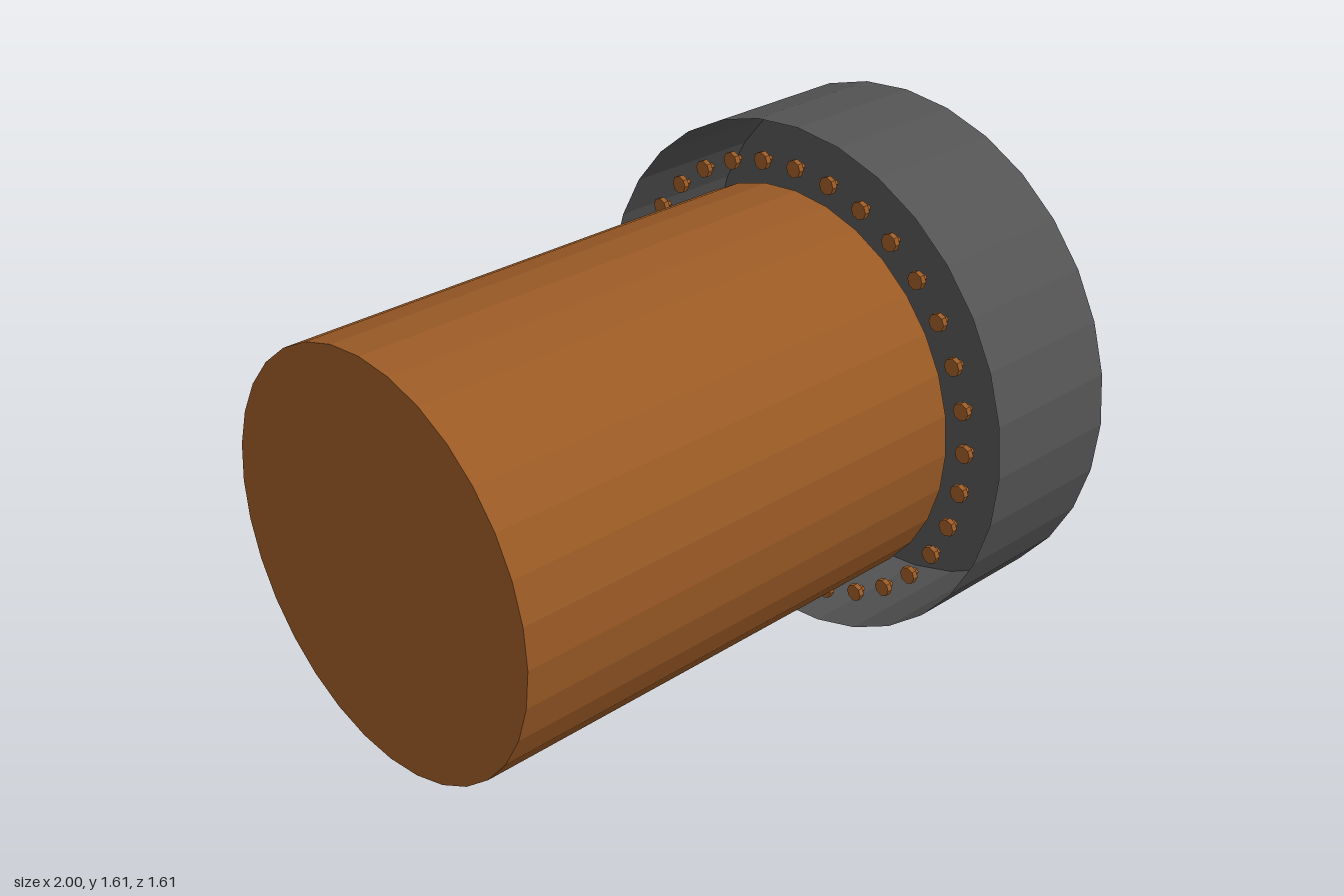
import * as THREE from 'three';

const SIDES = 32;
const CENTRE_Y = 0.807;

export function createModel() {
  const model = new THREE.Group();
  const brown = new THREE.MeshStandardMaterial({ color: 0x9a5a25, flatShading: true });
  brown.name = 'brown';
  const grey = new THREE.MeshStandardMaterial({ color: 0x545454, flatShading: true, side: THREE.DoubleSide });
  grey.name = 'dark grey';

  // Cylinder lying along x, between two x positions
  const rod = (radius, x0, x1, sides, open = false) =>
    new THREE.CylinderGeometry(radius, radius, x1 - x0, sides, 1, open)
      .rotateZ(-Math.PI / 2)
      .translate((x0 + x1) / 2, 0, 0);

  const add = (name, geometry, material, parent = model) => {
    const mesh = new THREE.Mesh(geometry, material);
    mesh.name = name;
    parent.add(mesh);
    return mesh;
  };

  // Solid barrel
  add('barrel', rod(0.615, -1, 0.535, SIDES), brown).position.y = CENTRE_Y;

  // Hollow cap, open towards the barrel
  const cap = new THREE.Group();
  cap.name = 'cap';
  cap.position.y = CENTRE_Y;
  model.add(cap);
  add('capWall', rod(0.807, 0.535, 1, SIDES, true), grey, cap);
  const end = new THREE.CircleGeometry(0.807, SIDES).rotateY(Math.PI / 2).translate(1, 0, 0);
  add('capEnd', end, grey, cap);

  // Ring of small studs around the barrel's end
  const studs = new THREE.Group();
  studs.name = 'studs';
  studs.position.y = CENTRE_Y;
  model.add(studs);
  const head = rod(0.027, 0.52, 0.537, 8);
  const stem = rod(0.011, 0.537, 0.56, 6);
  const count = 33;
  for (let i = 0; i < count; i++) {
    const a = (i / count) * Math.PI * 2;
    const stud = new THREE.Group();
    stud.name = 'stud';
    stud.position.set(0, 0.685 * Math.cos(a), 0.685 * Math.sin(a));
    add('studHead', head, brown, stud);
    add('studStem', stem, brown, stud);
    studs.add(stud);
  }
  return model;
}
